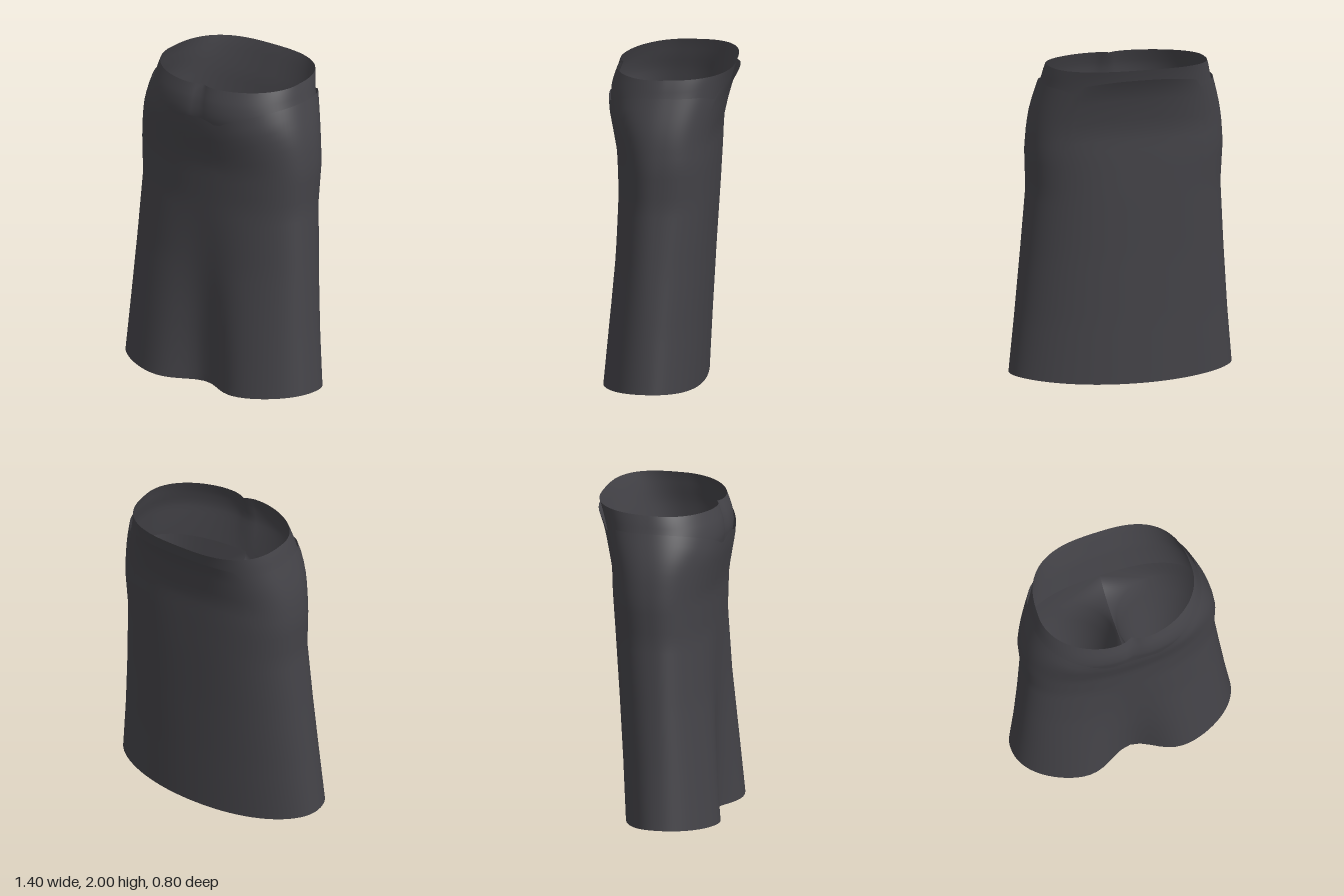
import * as THREE from 'three';

const N = 96; // points around every ring
const SEAT = 1.55; // height where the trouser legs join the seat
const fabric = new THREE.MeshStandardMaterial({ color: 0x444348, side: THREE.DoubleSide });
fabric.name = 'charcoal fabric';

// Linear lookup in rows sorted by their first value (height)
function sample(rows, y) {
  let i = 0;
  while (i < rows.length - 2 && y > rows[i + 1][0]) i++;
  const a = rows[i], b = rows[i + 1];
  const t = THREE.MathUtils.clamp((y - a[0]) / (b[0] - a[0]), 0, 1);
  return a.map((v, k) => v + (b[k] - v) * t);
}

// Closed rings, bottom to top, joined into an open tube
function loft(name, rings) {
  const n = rings[0].length, index = [];
  for (let i = 0; i < rings.length - 1; i++) {
    for (let j = 0; j < n; j++) {
      const k = (j + 1) % n;
      const a = i * n + j, b = i * n + k, c = a + n, d = b + n;
      index.push(a, b, d, a, d, c);
    }
  }
  const geo = new THREE.BufferGeometry();
  geo.setAttribute('position', new THREE.Float32BufferAttribute(rings.flat(2), 3));
  geo.setIndex(index);
  geo.computeVertexNormals();
  const mesh = new THREE.Mesh(geo, fabric);
  mesh.name = name;
  return mesh;
}

// Front folds: a broad soft wave for the skirt, a sharp crease for the trousers
const softFold = (x) => Math.exp(-((x / 0.2) ** 2));
const sharpFold = (x) => Math.exp(-Math.abs(x) / 0.06);

// Superellipse point: angle 0 is the front, 90 degrees is +x
function bodyPoint(rows, angle, y, fold) {
  const [, w, zs, zf, zb, nf, nb, dip] = sample(rows, y);
  const s = Math.sin(angle), c = Math.cos(angle), n = c > 0 ? nf : nb;
  const x = Math.sign(s) * w * Math.abs(s) ** (2 / n);
  let z = zs + (c > 0 ? zf - zs : zb - zs) * Math.abs(c) ** (2 / n);
  if (c > 0) z -= dip * c * fold(x);
  return [x, y, z];
}

// Rings between a lower and an upper edge that vary with the angle
function bodyRings(rows, low, high, levels, fold) {
  return Array.from({ length: levels + 1 }, (_, i) =>
    Array.from({ length: N }, (_, j) => {
      const a = (j / N) * Math.PI * 2;
      const y = THREE.MathUtils.lerp(low(a), high(a), i / levels);
      return bodyPoint(rows, a, y, fold);
    }));
}

// y, half width, side z, front z, back z, front power, back power, front fold depth
const skirtRows = [
  [0.00, 0.706, 0.09, 0.440, -0.21, 2.2, 2.1, 0.15],
  [0.40, 0.669, 0.085, 0.398, -0.23, 2.2, 2.2, 0.09],
  [0.80, 0.637, 0.075, 0.354, -0.252, 2.2, 2.35, 0.035],
  [1.20, 0.608, 0.055, 0.327, -0.277, 2.25, 2.5, 0],
  [1.45, 0.617, 0.045, 0.336, -0.29, 2.25, 2.6, 0],
  [1.60, 0.605, 0.035, 0.365, -0.296, 2.25, 2.6, 0],
  [1.70, 0.585, 0.025, 0.385, -0.318, 2.3, 2.6, 0],
  [1.78, 0.563, 0.01, 0.391, -0.338, 2.3, 2.6, 0],
  [1.87, 0.536, 0.00, 0.380, -0.365, 2.2, 2.6, 0],
  [1.94, 0.510, 0.00, 0.355, -0.402, 2.1, 2.6, 0],
];
const trouserRows = [
  [1.55, 0.59, 0.04, 0.335, -0.275, 2.25, 2.6, 0],
  [1.78, 0.548, 0.01, 0.381, -0.324, 2.3, 2.6, 0.02],
  [1.87, 0.522, 0.00, 0.376, -0.350, 2.2, 2.6, 0.032],
  [1.96, 0.500, 0.00, 0.348, -0.376, 2.1, 2.7, 0.04],
  [2.00, 0.485, 0.00, 0.332, -0.390, 2.0, 2.8, 0.04],
];
// y, centre x, centre z, radius x, radius z
const legRows = [
  [0.00, 0.325, 0.15, 0.155, 0.19],
  [0.25, 0.315, 0.11, 0.145, 0.16],
  [0.50, 0.31, 0.085, 0.155, 0.16],
  [0.90, 0.30, 0.05, 0.22, 0.20],
  [1.15, 0.30, 0.035, 0.265, 0.24],
  [1.35, 0.298, 0.03, 0.285, 0.265],
];

// Skirt edges: slightly raised hem at the sides, shaped waist edge
const hem = (a) => 0.052 - 0.044 * Math.cos(a) ** 2;
function skirtTop(a) {
  const s = Math.abs(Math.sin(a));
  if (Math.cos(a) > 0) {
    const x = s ** 0.87 * 0.545;
    if (x < 0.15) return 1.775 - 0.04 * (x / 0.15) ** 2;
    return 1.735 + 0.14 * ((x - 0.15) / 0.395) ** 0.75;
  }
  // small step on each side of the back
  return s > 0.63 ? 1.84 + 0.035 * Math.min(1, (s - 0.63) / 0.25) : 1.94 - 0.04 * (s / 0.63) ** 2;
}

// One leg: rings up to the half of the trouser seat plus a sagging crotch curve
function legRings() {
  const rings = legRows.map(([y, cx, cz, rx, rz]) =>
    Array.from({ length: N }, (_, j) => {
      const a = (j / N) * Math.PI * 2;
      return [cx + rx * Math.sin(a), y, cz + rz * Math.cos(a)];
    }));
  const half = N / 2;
  rings.push(Array.from({ length: N }, (_, j) => {
    if (j <= half) return bodyPoint(trouserRows, (j / half) * Math.PI, SEAT, sharpFold);
    const a = ((j - half) / half) * Math.PI;
    return [0, SEAT - 0.17 * Math.sin(a), 0.03 - 0.305 * Math.cos(a)];
  }));
  return rings;
}

export function createModel() {
  const model = new THREE.Group();
  model.name = 'skirtOverTrousers';

  model.add(loft('skirt', bodyRings(skirtRows, hem, skirtTop, 30, softFold)));

  // Trouser seat and waist, a little higher at the back
  const waist = (a) => 1.98 - 0.02 * Math.cos(a);
  model.add(loft('trouserWaist', bodyRings(trouserRows, () => SEAT, waist, 12, sharpFold)));

  const left = legRings();
  const right = left.map((ring) => ring.map(([x, y, z]) => [-x, y, z]).reverse());
  model.add(loft('leftTrouserLeg', left), loft('rightTrouserLeg', right));

  return model;
}
